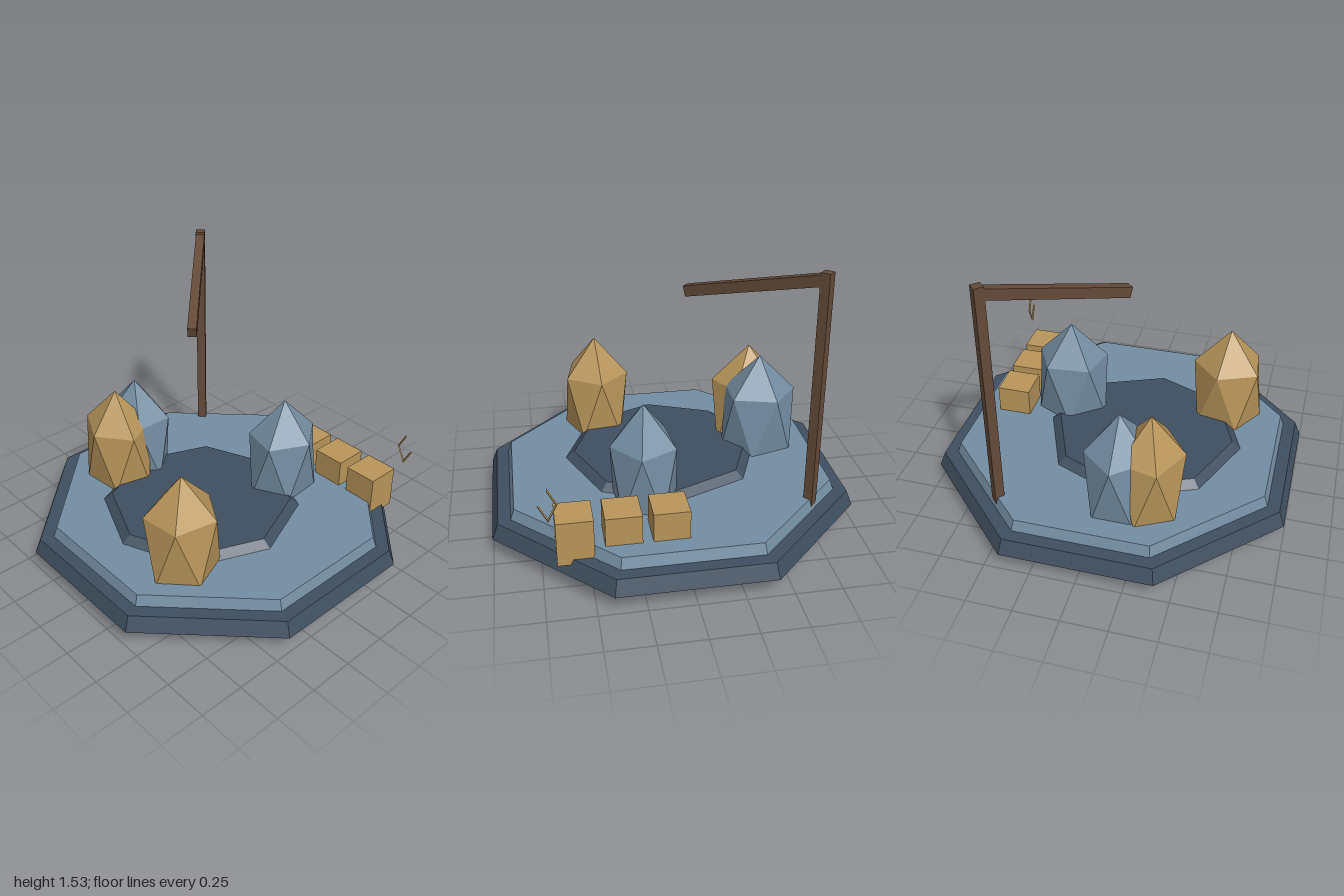
import * as THREE from 'three';
import { ConvexGeometry } from 'three/addons/geometries/ConvexGeometry.js';

const mat = (name, color) => {
  const m = new THREE.MeshStandardMaterial({ color, flatShading: true });
  m.name = name;
  return m;
};

export function createModel() {
  const darkSlate = mat('dark slate', 0x3f4f60);
  const paleSlate = mat('pale slate', 0x748da2);
  const gold = mat('gold', 0xb8955a);
  const wood = mat('wood', 0x634a38);

  const model = new THREE.Group();
  model.name = 'crystalPlatform';

  const add = (name, geometry, material, x = 0, y = 0, z = 0) => {
    const mesh = new THREE.Mesh(geometry, material);
    mesh.name = name;
    mesh.position.set(x, y, z);
    model.add(mesh);
    return mesh;
  };

  // Octagonal tiers with sloping sides; turn = PI/8 puts flats on the axes
  const tier = (name, material, rBottom, rTop, y0, y1, turn, z = 0) => {
    const g = new THREE.CylinderGeometry(rTop, rBottom, y1 - y0, 8).rotateY(turn);
    add(name, g, material, 0, (y0 + y1) / 2, z);
  };
  tier('basePlinth', darkSlate, 1.082, 1.047, 0.098, 0.183, Math.PI / 8);
  tier('floorSlab', paleSlate, 0.972, 0.95, 0.183, 0.243, Math.PI / 8);
  tier('centreDais', darkSlate, 0.568, 0.515, 0.24, 0.282, 0, 0.125);

  // Crystals: stretched icosahedra standing on a point, sunk through the base
  const half = 0.405;
  const ringY = half / Math.sqrt(5);
  const crystal = (name, material, x, z, rx, rz, degrees) => {
    const points = [new THREE.Vector3(0, half, 0), new THREE.Vector3(0, -half, 0)];
    for (let i = 0; i < 10; i++) {
      const a = (degrees / 180 + i / 5) * Math.PI;
      points.push(new THREE.Vector3(Math.cos(a) * rx, i % 2 ? -ringY : ringY, Math.sin(a) * rz));
    }
    add(name, new ConvexGeometry(points), material, x, half, z);
  };
  crystal('goldCrystalRight', gold, -0.555, 0.29, 0.215, 0.182, 84);
  crystal('goldCrystalFront', gold, 0.34, 0.55, 0.193, 0.205, -96);
  crystal('blueCrystalRight', paleSlate, -0.58, 0.13, 0.215, 0.185, 180);
  crystal('blueCrystalBack', paleSlate, 0.175, -0.36, 0.184, 0.212, -6);

  // Row of crates along the back
  for (let i = 0; i < 3; i++) {
    add('crate' + (i + 1), new THREE.BoxGeometry(0.19, 0.25, 0.19), gold, 0.093 + i * 0.244, 0.277, -0.68);
  }

  // Crane post and drooping arm
  add('cranePost', new THREE.BoxGeometry(0.052, 1.325, 0.052).rotateY(Math.PI / 4), wood, -0.712, 0.863, -0.512);
  const from = new THREE.Vector3(-0.715, 1.49, -0.515);
  const to = new THREE.Vector3(-0.13, 1.263, 0.062);
  const mid = from.clone().lerp(to, 0.5);
  const arm = add('craneArm', new THREE.BoxGeometry(0.05, 0.06, from.distanceTo(to)), wood, mid.x, mid.y, mid.z);
  arm.lookAt(to);

  // Angular open hook, three straight links
  const hook = new THREE.TorusGeometry(0.045, 0.006, 4, 3, Math.PI * 1.5);
  hook.rotateZ(Math.PI / 2).scale(1, 1.95, 1);
  add('hook', hook, gold, 0.708, 0.542, -0.81);

  return model;
}
